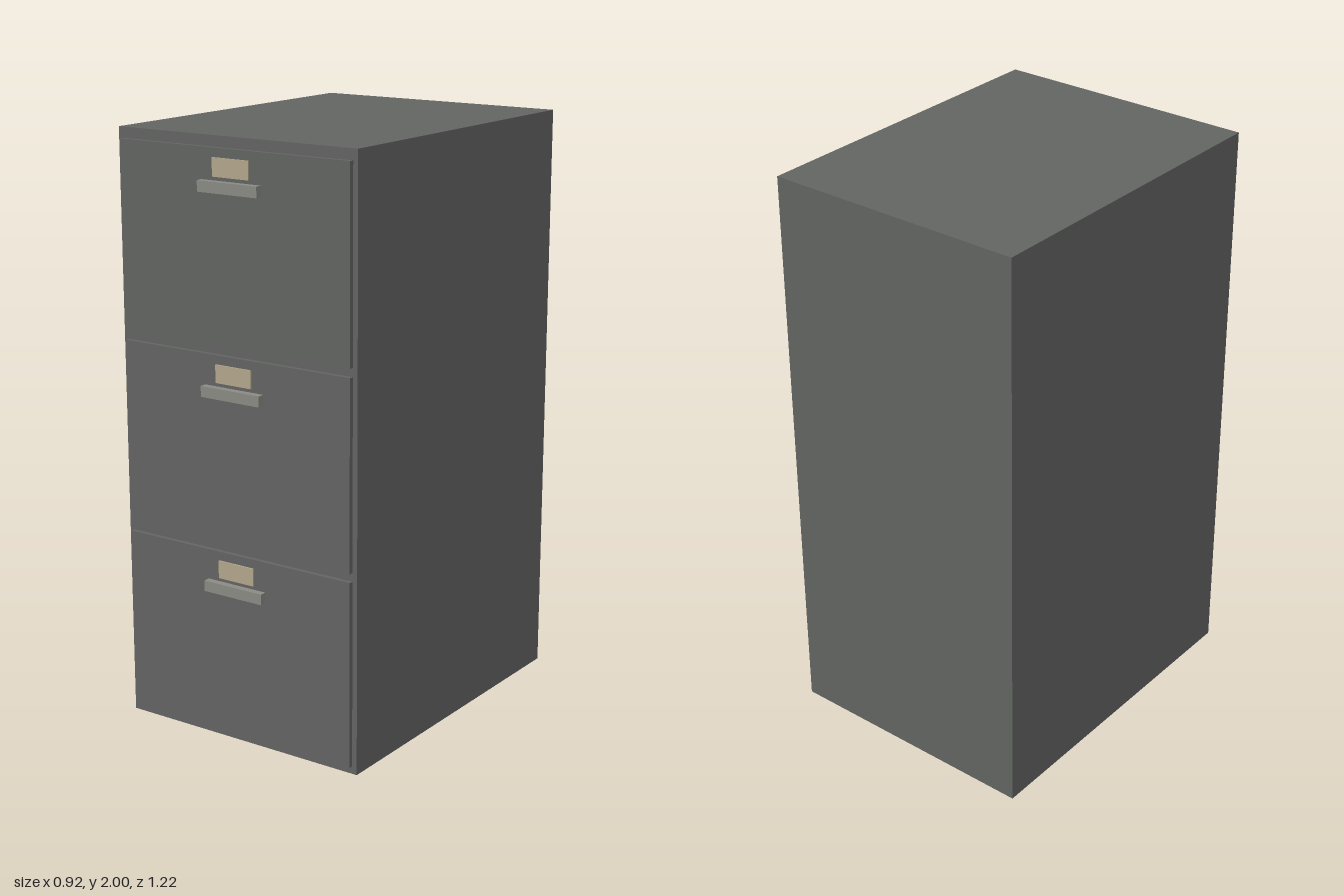
import * as THREE from 'three';

const material = (color) => new THREE.MeshStandardMaterial({ color });

// Box given by its size and centre
function box(name, [w, h, d], [x, y, z], mat) {
  const mesh = new THREE.Mesh(new THREE.BoxGeometry(w, h, d), mat);
  mesh.name = name;
  mesh.position.set(x, y, z);
  return mesh;
}

export function createModel() {
  const steel = material(0x636563);
  const metal = material(0x8c8c85);
  const card = material(0xb5a88c);

  const cabinet = new THREE.Group();
  cabinet.name = 'filingCabinet';

  // Carcass
  cabinet.add(box('carcass', [0.92, 2, 1.176], [0, 1, -0.02], steel));

  // Three equal drawers, bottom to top
  const pitch = 0.656;
  ['bottomDrawer', 'middleDrawer', 'topDrawer'].forEach((name, i) => {
    const drawer = new THREE.Group();
    drawer.name = name;
    drawer.position.set(0, 0.339 + i * pitch, 0.568);
    drawer.add(
      box('drawerFront', [0.885, 0.627, 0.016], [0, 0, 0.008], steel),
      box('handle', [0.23, 0.036, 0.024], [0, 0.194, 0.028], metal),
      box('labelCard', [0.14, 0.06, 0.005], [0, 0.254, 0.0185], card),
    );
    cabinet.add(drawer);
  });

  return cabinet;
}
